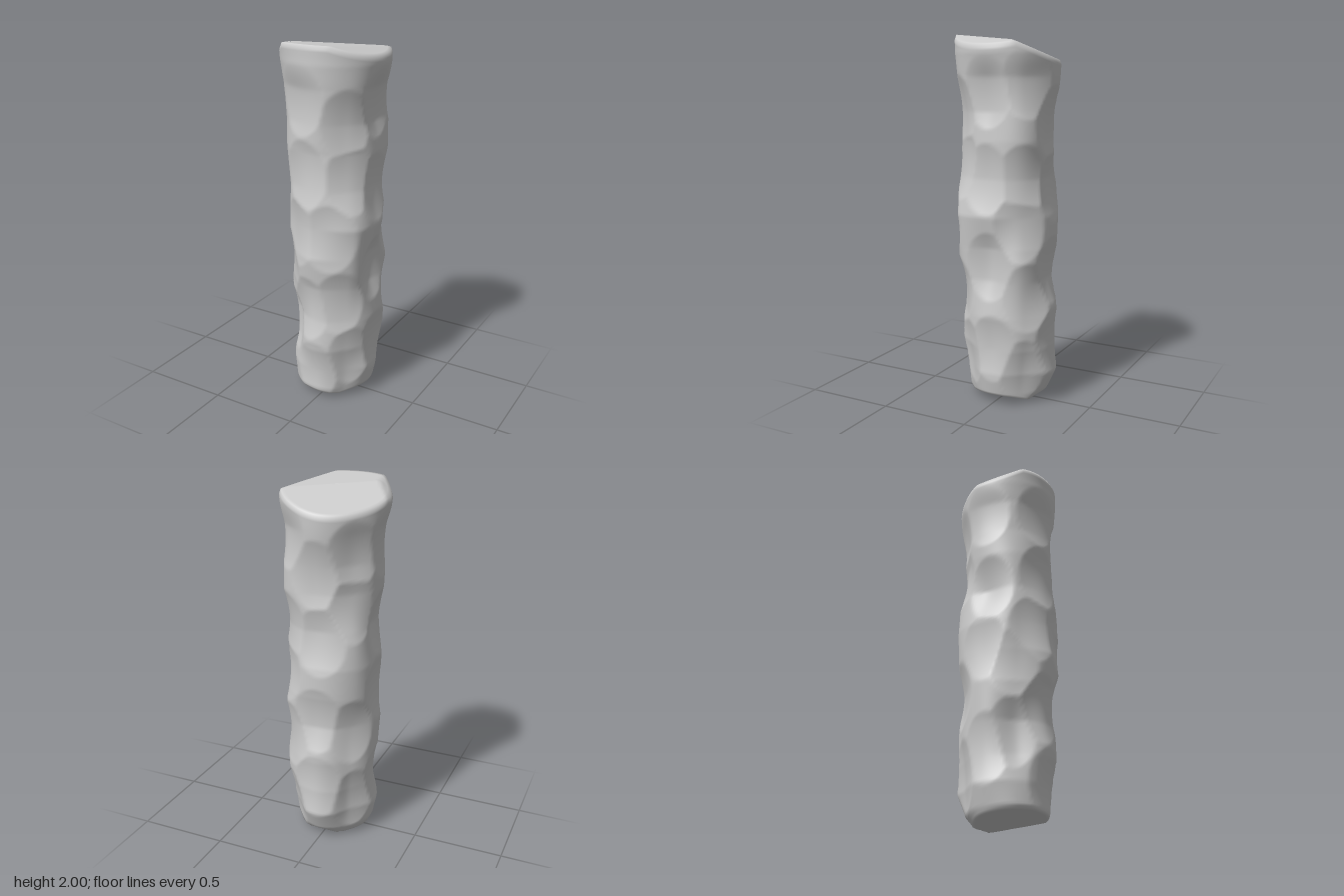
import * as THREE from 'three';

// Reach at several heights in eight directions, from the front turning towards +x:
// [y, front, front +x, +x, back +x, back, back -x, -x, front -x]
const OUTLINE = [
  [0.00, 0.200, 0.170, 0.170, 0.185, 0.160, 0.160, 0.180, 0.170],
  [0.06, 0.230, 0.185, 0.200, 0.205, 0.220, 0.200, 0.210, 0.220],
  [0.18, 0.240, 0.210, 0.228, 0.238, 0.278, 0.228, 0.240, 0.228],
  [0.32, 0.255, 0.235, 0.230, 0.257, 0.285, 0.235, 0.240, 0.210],
  [0.50, 0.245, 0.236, 0.238, 0.264, 0.275, 0.235, 0.240, 0.205],
  [0.70, 0.250, 0.250, 0.212, 0.268, 0.245, 0.237, 0.247, 0.245],
  [0.88, 0.277, 0.270, 0.217, 0.270, 0.260, 0.255, 0.245, 0.250],
  [1.05, 0.265, 0.287, 0.252, 0.260, 0.262, 0.264, 0.243, 0.245],
  [1.25, 0.257, 0.253, 0.235, 0.257, 0.237, 0.255, 0.212, 0.241],
  [1.45, 0.250, 0.235, 0.235, 0.270, 0.243, 0.235, 0.245, 0.254],
  [1.60, 0.255, 0.242, 0.226, 0.268, 0.257, 0.238, 0.260, 0.250],
  [1.78, 0.265, 0.262, 0.245, 0.270, 0.275, 0.260, 0.273, 0.262],
  [1.90, 0.283, 0.282, 0.280, 0.286, 0.288, 0.275, 0.293, 0.288],
  [2.00, 0.285, 0.288, 0.288, 0.286, 0.286, 0.275, 0.290, 0.300],
];

// Centres of the chiselled hollows: [degrees from the front towards +x, y]
const HOLLOWS = [
  [-15, 1.72], [42, 1.6], [-12, 1.33], [48, 1.32], [-25, 1.0], [22, 1.0], [-10, 0.57],
  [35, 0.62], [-50, 0.43], [0, 0.18], [50, 0.28], [90, 1.7], [88, 1.25], [90, 0.78],
  [95, 0.33], [140, 1.75], [135, 1.25], [130, 1.0], [140, 0.62], [135, 0.2],
  [180, 1.55], [185, 1.2], [180, 0.75], [180, 0.35],
  [-135, 1.65], [-135, 1.38], [-135, 0.68], [-130, 0.25],
  [-85, 1.7], [-80, 1.25], [-88, 0.9], [-85, 0.35], [-50, 0.8],
].map(([deg, y]) => [THREE.MathUtils.degToRad(deg), y]);

function reach(y) {
  let i = 0;
  while (i < OUTLINE.length - 2 && y > OUTLINE[i + 1][0]) i++;
  const a = OUTLINE[i], b = OUTLINE[i + 1];
  const t = THREE.MathUtils.clamp((y - a[0]) / (b[0] - a[0]), 0, 1);
  return a.slice(1).map((v, k) => THREE.MathUtils.lerp(v, b[k + 1], t));
}

// Blend of the eight reaches, scooped out so that ridges stand between the hollows
function radius(angle, y) {
  const reaches = reach(y);
  const turnEighths = angle / (Math.PI / 4);
  const k = Math.floor(turnEighths);
  const mix = THREE.MathUtils.smoothstep(turnEighths - k, 0, 1);
  const base = THREE.MathUtils.lerp(reaches[k % 8], reaches[(k + 1) % 8], mix);
  let nearest = 1;
  for (const [a, cy] of HOLLOWS) {
    const turn = Math.atan2(Math.sin(angle - a), Math.cos(angle - a));
    nearest = Math.min(nearest, (turn * 0.25) ** 2 + ((y - cy) * 0.72) ** 2);
  }
  const fade = THREE.MathUtils.smoothstep(2.0 - y, 0.05, 0.25);
  return base + fade * (Math.min(0.024, nearest * 1.3) - 0.014);
}

// Faceted, tilted ends
const topAt = (x, z) => Math.min(
  2, 1.975 + 0.09 * z, 1.977 + 0.42 * (0.4 * x + 0.9 * z), 2.13 + 0.73 * x, 2.033 - 0.33 * x);
const bottomAt = (x, z) => Math.max(
  0, 0.015 + 0.12 * z - 0.08 * x, -0.13 - 0.85 * z, -0.02 + 0.4 * x);

function createStoneGeometry() {
  const around = 112, rows = 150, capRings = 16, rim = 0.018;
  const positions = [], index = [];
  const ringCount = rows + 1 + capRings * 2;
  for (let j = 0; j < ringCount; j++) {
    for (let i = 0; i < around; i++) {
      const a = (i / around) * Math.PI * 2, s = Math.sin(a), c = Math.cos(a);
      const rBottom = radius(a, 0.04), rTop = radius(a, 1.95);
      const low = bottomAt(s * rBottom, c * rBottom), high = topAt(s * rTop, c * rTop);
      let r, y;
      if (j < capRings) { // underside
        r = radius(a, low) * (j / capRings);
        y = bottomAt(s * r, c * r);
      } else if (j > capRings + rows) { // top face
        r = radius(a, high - rim) * 0.975 * ((ringCount - 1 - j) / (capRings - 1));
        y = topAt(s * r, c * r);
      } else { // shaft, stopping just short of the top for a softened rim
        y = THREE.MathUtils.lerp(low, high - rim, (j - capRings) / rows);
        r = radius(a, y);
      }
      positions.push(s * r, y, c * r);
    }
  }
  for (let j = 0; j < ringCount - 1; j++) {
    for (let i = 0; i < around; i++) {
      const k = (i + 1) % around;
      const a = j * around + i, b = j * around + k, d = a + around, e = b + around;
      if (j > 0) index.push(a, b, e);
      if (j < ringCount - 2) index.push(a, e, d);
    }
  }
  const geometry = new THREE.BufferGeometry();
  geometry.setAttribute('position', new THREE.Float32BufferAttribute(positions, 3));
  geometry.setIndex(index);
  geometry.computeVertexNormals();
  return geometry;
}

export function createModel() {
  const group = new THREE.Group();
  group.name = 'stonePillar';
  const stone = new THREE.Mesh(
    createStoneGeometry(),
    new THREE.MeshStandardMaterial({ color: 0xcccccc }),
  );
  stone.name = 'chiselledShaft';
  group.add(stone);
  return group;
}
